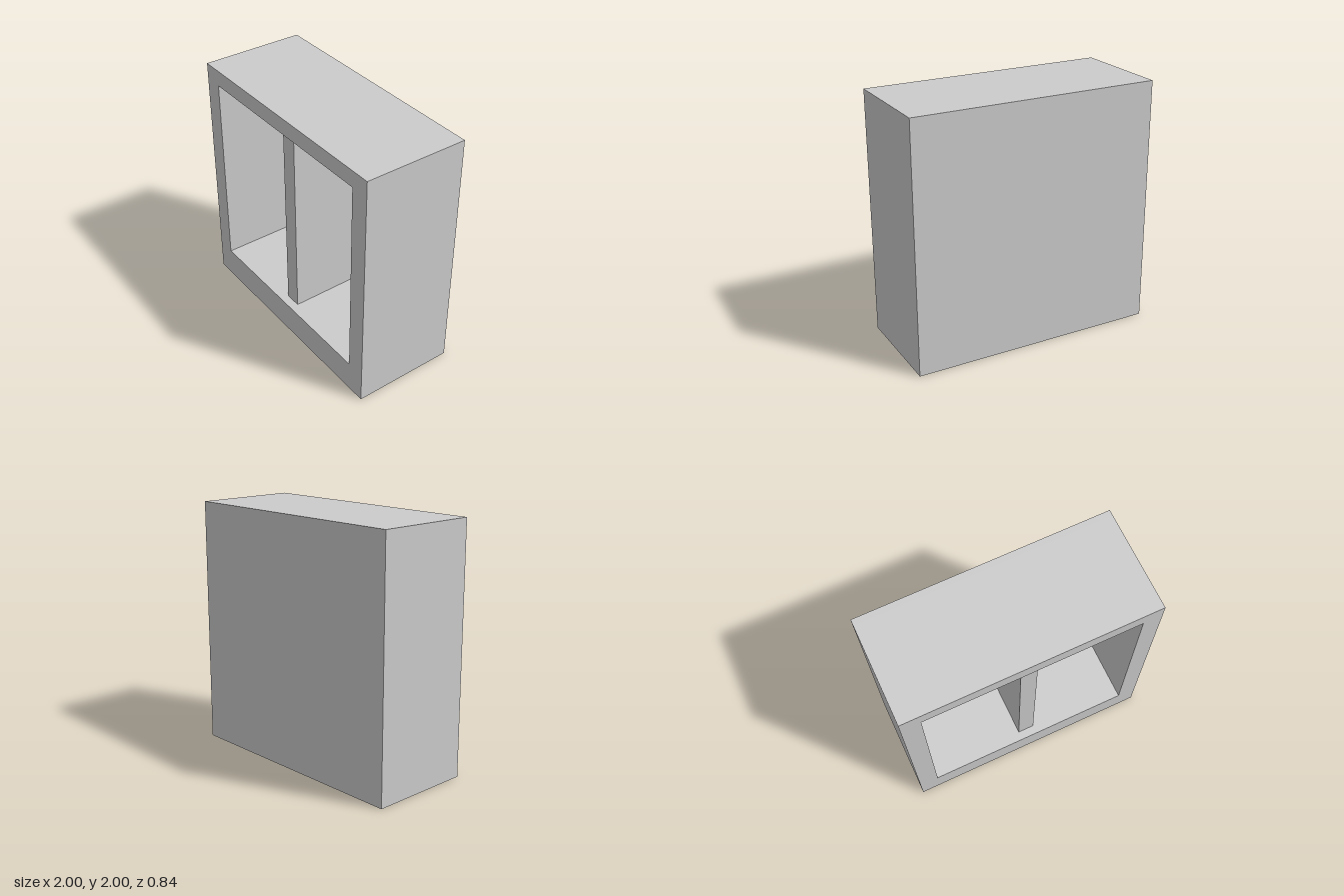
import * as THREE from 'three';

const W = 2, H = 2, DEPTH = 0.84;
const BACK = 0.05;                       // back panel thickness
const OPEN = { x: 0.847, y0: 0.25, y1: 1.87 };
const DIVIDER = { width: 0.134, recess: 0.07 };

export function createModel() {
  const group = new THREE.Group();
  const material = new THREE.MeshStandardMaterial({ color: 0xcccccc, flatShading: true });

  const add = (name, geometry, x, y, z) => {
    const mesh = new THREE.Mesh(geometry, material);
    mesh.name = name;
    mesh.position.set(x, y, z);
    group.add(mesh);
  };

  const rect = (path, x0, y0, x1, y1) =>
    path.moveTo(x0, y0).lineTo(x1, y0).lineTo(x1, y1).lineTo(x0, y1).closePath();

  // Thick outer frame with a taller bottom rail
  const outline = rect(new THREE.Shape(), -W / 2, 0, W / 2, H);
  outline.holes.push(rect(new THREE.Path(), -OPEN.x, OPEN.y0, OPEN.x, OPEN.y1));
  const frameDepth = DEPTH - BACK;
  add('frame', new THREE.ExtrudeGeometry(outline, { depth: frameDepth, bevelEnabled: false }),
    0, 0, -DEPTH / 2 + BACK);

  // Closed back
  add('backPanel', new THREE.BoxGeometry(W, H, BACK), 0, H / 2, -DEPTH / 2 + BACK / 2);

  // Central upright, set back from the front face
  const dividerDepth = frameDepth - DIVIDER.recess;
  add('divider', new THREE.BoxGeometry(DIVIDER.width, OPEN.y1 - OPEN.y0, dividerDepth),
    0, (OPEN.y0 + OPEN.y1) / 2, -DEPTH / 2 + BACK + dividerDepth / 2);

  return group;
}
